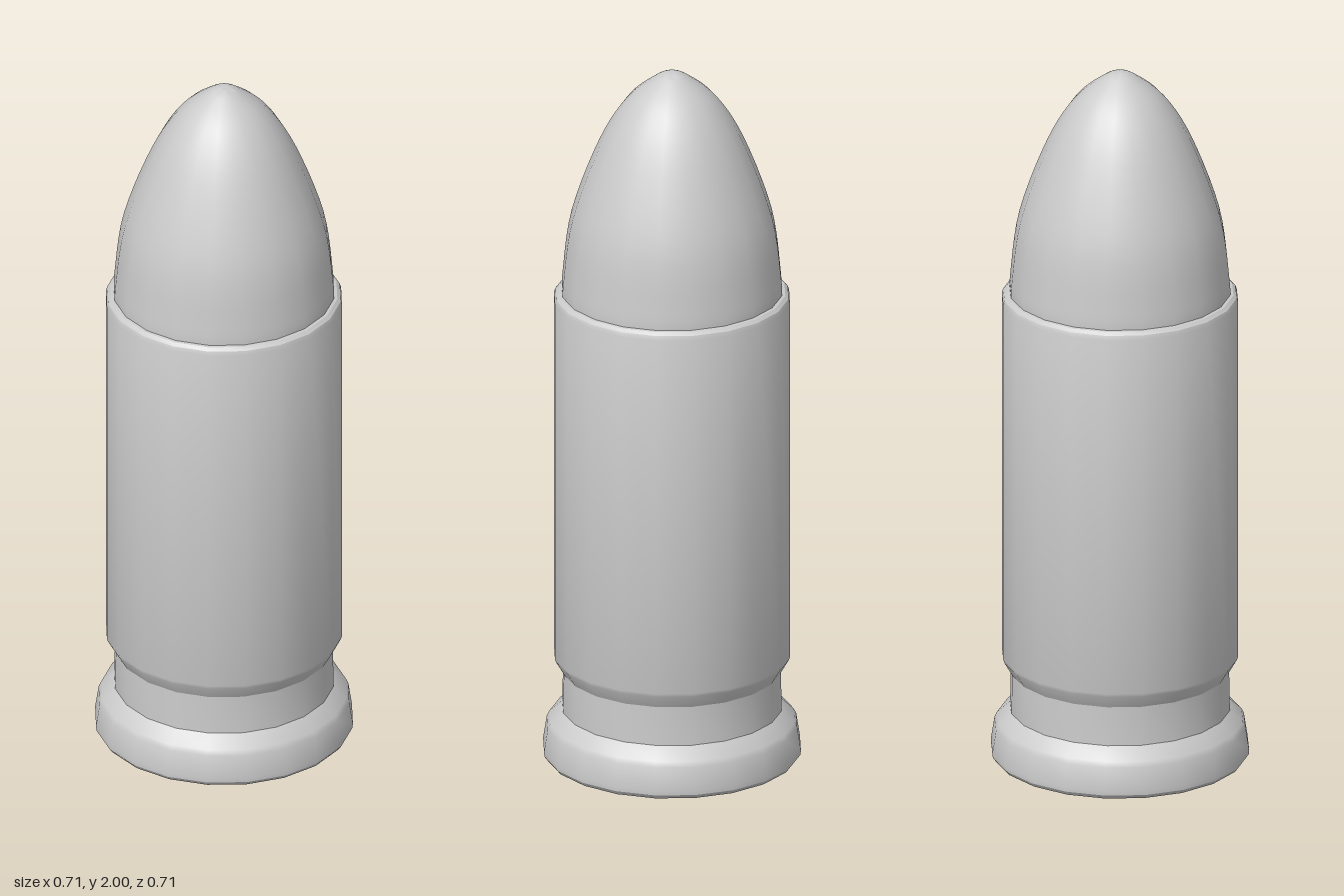
import * as THREE from 'three';
import { toCreasedNormals } from 'three/addons/utils/BufferGeometryUtils.js';

const SIDES = 20;
const material = new THREE.MeshStandardMaterial({ color: 0xcccccc });

// Revolves [radius, height] points, listed from bottom to top
function turned(name, points, crease = 0.5) {
  const lathe = new THREE.LatheGeometry(points.map(([r, y]) => new THREE.Vector2(r, y)), SIDES);
  const mesh = new THREE.Mesh(toCreasedNormals(lathe, crease), material);
  mesh.name = name;
  return mesh;
}

export function createModel() {
  const group = new THREE.Group();
  group.name = 'cartridge';

  // Casing: base with primer pocket, rim, extractor groove, body and rolled mouth
  group.add(turned('casing', [
    [0.13, 0.032], [0.18, 0.032], [0.19, 0],
    [0.345, 0], [0.354, 0.012], [0.355, 0.025], [0.345, 0.09], [0.338, 0.105],
    [0.302, 0.138], [0.3, 0.25],
    [0.322, 0.288], [0.325, 0.298],
    [0.325, 1.335], [0.321, 1.347], [0.312, 1.355], [0.3, 1.357],
  ]));

  // Primer: bevelled disc set in the base
  group.add(turned('primer', [[0, 0.002], [0.107, 0.002], [0.13, 0.032]]));

  // Bullet: smooth ogive with a rounded tip
  const ogive = new THREE.SplineCurve([
    [0.303, 1.34], [0.301, 1.4], [0.276, 1.58], [0.2, 1.79],
    [0.125, 1.915], [0.042, 1.985], [0, 2],
  ].map(([r, y]) => new THREE.Vector2(r, y)));
  const profile = ogive.getPoints(30).map((p) => [Math.max(p.x, 0), Math.min(p.y, 2)]);
  group.add(turned('bullet', profile, 1));

  return group;
}
